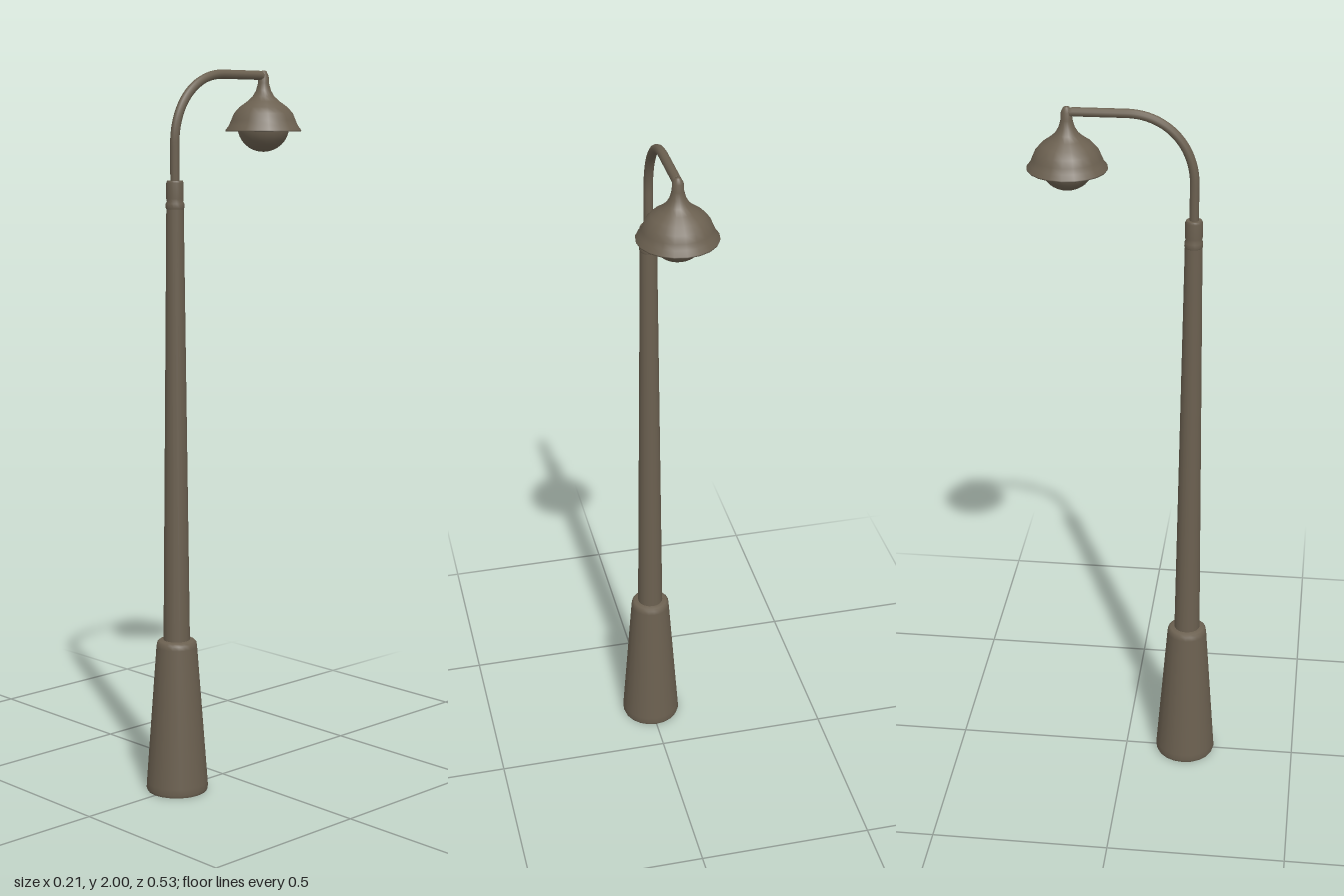
import * as THREE from 'three';

const POST_Z = 0.177, LAMP_Z = -0.157;

export function createModel() {
  const model = new THREE.Group();
  model.name = 'streetLamp';
  const metal = new THREE.MeshStandardMaterial({ color: 0x6b6050 });
  metal.name = 'weathered bronze';

  const add = (name, geometry, z = 0) => {
    const mesh = new THREE.Mesh(geometry, metal);
    mesh.name = name;
    mesh.position.z = z;
    model.add(mesh);
    return mesh;
  };
  // Profiles are [radius, height] pairs, listed from the bottom up
  const lathe = (profile, sides) =>
    new THREE.LatheGeometry(profile.map(([r, y]) => new THREE.Vector2(r, y)), sides);

  // Tapered pedestal with a softened shoulder
  add('base', lathe([[0, 0], [0.084, 0], [0.084, 0], [0.087, 0.008], [0.086, 0.025],
    [0.057, 0.415], [0.055, 0.427], [0.049, 0.433], [0.034, 0.435]], 20), POST_Z);

  // Slim tapering pole
  add('pole', lathe([[0.037, 0.42], [0.0235, 1.63]], 18), POST_Z);

  // Collar holding the arm
  add('collar', lathe([[0.0225, 1.625], [0.025, 1.63], [0.025, 1.642], [0.022, 1.648],
    [0.0235, 1.655], [0.0235, 1.697], [0.021, 1.703], [0.021, 1.703], [0, 1.703]], 18), POST_Z);

  // Arm: upright, quarter bend, then level out to the lamp
  const path = new THREE.CurvePath();
  const v = (y, z) => new THREE.Vector3(0, y, z);
  path.add(new THREE.LineCurve3(v(1.69, POST_Z), v(1.8, POST_Z)));
  path.add(new THREE.CubicBezierCurve3(v(1.8, POST_Z), v(1.91, POST_Z), v(1.987, 0.1), v(1.987, 0)));
  path.add(new THREE.LineCurve3(v(1.987, 0), v(1.986, -0.14)));
  path.add(new THREE.QuadraticBezierCurve3(v(1.986, -0.14), v(1.986, LAMP_Z - 0.003), v(1.955, LAMP_Z - 0.003)));
  add('arm', new THREE.TubeGeometry(path, 56, 0.0125, 10));

  // Bell-shaped shade with a flared rim and closed underside
  add('shade', lathe([[0, 1.84], [0.07, 1.84], [0.098, 1.833], [0.106, 1.832], [0.107, 1.836],
    [0.097, 1.849], [0.091, 1.863], [0.083, 1.882], [0.068, 1.899], [0.047, 1.914],
    [0.031, 1.928], [0.021, 1.945], [0.0155, 1.965], [0.0145, 1.985], [0.008, 1.998], [0, 2]], 20), LAMP_Z);

  // Rounded globe below the shade
  const globe = add('globe', new THREE.SphereGeometry(0.073, 20, 8, 0, Math.PI * 2, Math.PI / 2, Math.PI / 2), LAMP_Z);
  globe.position.y = 1.846;
  globe.scale.y = 0.96;

  return model;
}
